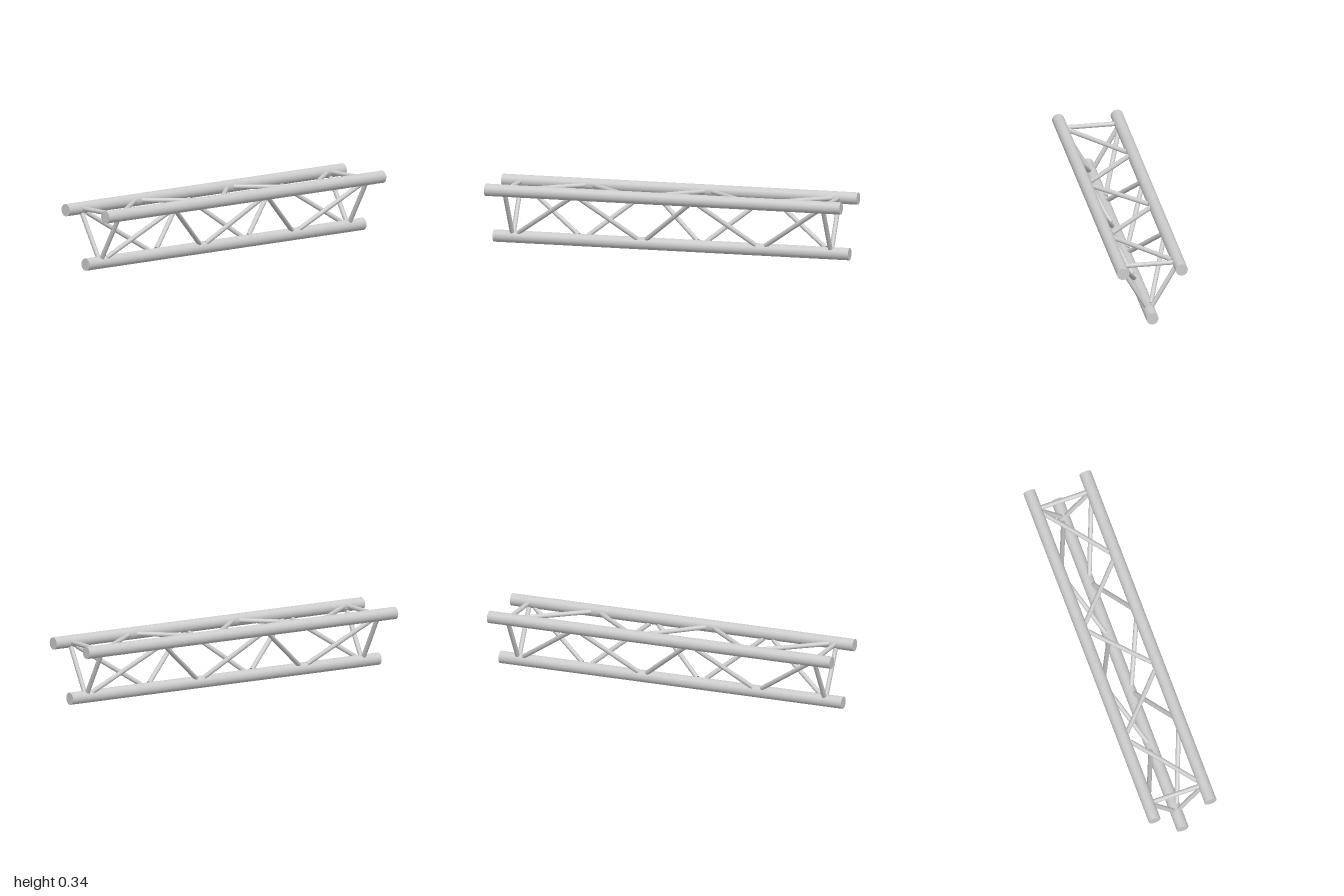
import * as THREE from 'three';

const CHORD_R = 0.0333, BRACE_R = 0.0125, SIDE = 0.32;
const INSET = 0.03; // brace ends sit just inside the chord surface

export function createModel() {
  const model = new THREE.Group();
  model.name = 'triangularTruss';
  const metal = new THREE.MeshStandardMaterial({ color: 0xcccccc });
  metal.name = 'brushedAluminium';

  // Round bar between two points
  function bar(name, a, b, radius, sides) {
    const dir = b.clone().sub(a);
    const mesh = new THREE.Mesh(new THREE.CylinderGeometry(radius, radius, dir.length(), sides), metal);
    mesh.name = name;
    mesh.position.copy(a).add(b).multiplyScalar(0.5);
    mesh.quaternion.setFromUnitVectors(new THREE.Vector3(0, 1, 0), dir.normalize());
    model.add(mesh);
  }

  // Three main chords, as (x = 0) centres of an equilateral triangle
  const topY = CHORD_R + SIDE * Math.sqrt(3) / 2;
  const chords = {
    Front: new THREE.Vector3(0, topY, SIDE / 2),
    Back: new THREE.Vector3(0, topY, -SIDE / 2),
    Bottom: new THREE.Vector3(0, CHORD_R, 0),
  };
  for (const [name, c] of Object.entries(chords)) {
    bar('chord' + name, c.clone().setX(-1), c.clone().setX(1), CHORD_R, 40);
  }

  // Start and end x of the five diagonals on each face
  const bays = [[-0.86, -0.53], [-0.475, -0.19], [-0.14, 0.14], [0.19, 0.475], [0.53, 0.86]];
  const faces = [['top', 'Front', 'Back'], ['back', 'Back', 'Bottom'], ['front', 'Bottom', 'Front']];
  for (const [face, from, to] of faces) {
    const t = INSET / SIDE;
    const a = chords[from].clone().lerp(chords[to], t);
    const b = chords[to].clone().lerp(chords[from], t);
    // Straight struts close both ends
    for (const x of [-0.895, 0.895]) {
      bar(face + 'EndStrut', a.clone().setX(x), b.clone().setX(x), BRACE_R, 20);
    }
    // Diagonals zigzag between the two chords
    bays.forEach(([x0, x1], i) => {
      const [p, q] = i % 2 ? [b, a] : [a, b];
      bar(face + 'Diagonal' + (i + 1), p.clone().setX(x0), q.clone().setX(x1), BRACE_R, 20);
    });
  }
  return model;
}
